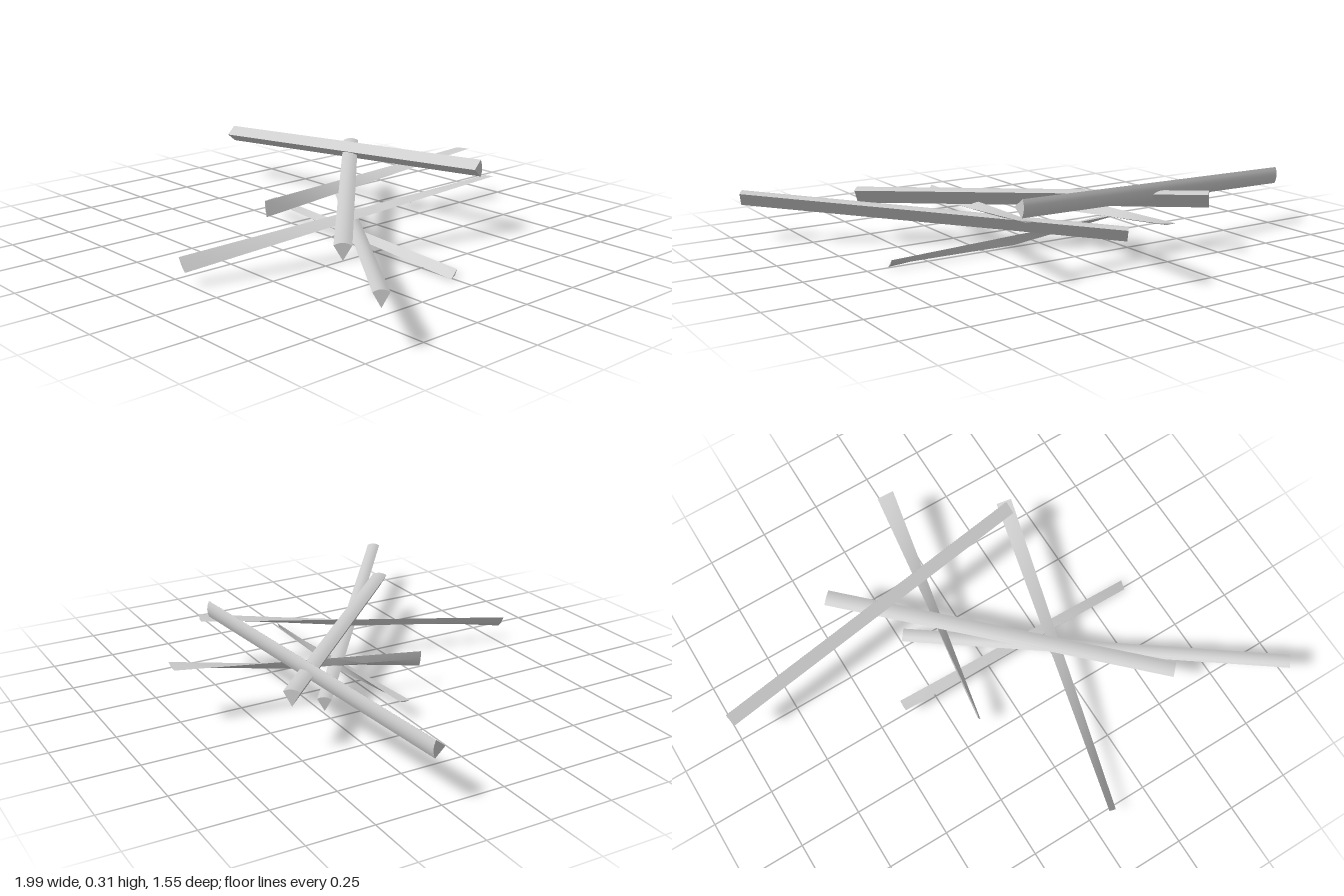
import * as THREE from 'three';
import { toCreasedNormals } from 'three/addons/utils/BufferGeometryUtils.js';

const V = (x, y, z) => new THREE.Vector3(x, y, z);

// Closed skin over sections; points run clockwise seen along the length
function loft(sections) {
  const n = sections[0].length, last = (sections.length - 1) * n, index = [];
  for (let s = 0; s < last; s += n) {
    for (let i = 0; i < n; i++) {
      const j = (i + 1) % n;
      index.push(s + i, s + j, s + n + j, s + i, s + n + j, s + n + i);
    }
  }
  for (let i = 1; i < n - 1; i++) index.push(0, i + 1, i, last, last + i, last + i + 1);
  const g = new THREE.BufferGeometry();
  g.setAttribute('position', new THREE.Float32BufferAttribute(
    sections.flat().flatMap(p => p.toArray()), 3));
  g.setIndex(index);
  return toCreasedNormals(g, 0.6);
}

// Straight split stick: gently rounded outer face with a V behind it
function wedgeStick(start, end, up, width, depth) {
  const dir = end.clone().sub(start).normalize();
  const right = dir.clone().cross(up).normalize();
  const out = right.clone().cross(dir).normalize();
  const section = c => {
    const pts = [];
    for (let i = 0; i <= 6; i++) {
      const t = i / 3 - 1;
      pts.push(c.clone().addScaledVector(right, t * width / 2)
        .addScaledVector(out, 0.009 * (1 - t * t)));
    }
    pts.push(c.clone().addScaledVector(out, -depth));
    return pts;
  };
  return loft([section(start), section(end)]);
}

// Twisted splinter: flat face between two edges, keel deepest at the middle
function splinter(a0, b0, a1, b1, keel) {
  const sections = [], steps = 8;
  for (let i = 0; i <= steps; i++) {
    const t = i / steps;
    const a = a0.clone().lerp(a1, t), b = b0.clone().lerp(b1, t);
    const mid = a.clone().add(b).multiplyScalar(0.5);
    const dir = a1.clone().sub(a0);
    const normal = b.clone().sub(a).cross(dir).normalize();
    const depth = 0.006 + keel * (1 - Math.abs(2 * t - 1));
    sections.push([a, b, mid.addScaledVector(normal, -depth)]);
  }
  return loft(sections);
}

export function createModel() {
  const group = new THREE.Group();
  const wood = new THREE.MeshStandardMaterial({ color: 0xcccccc });
  wood.name = 'paleGrey';
  const add = (name, geometry) => {
    const mesh = new THREE.Mesh(geometry, wood);
    mesh.name = name;
    group.add(mesh);
  };

  // Split sticks
  add('topStick', wedgeStick(V(-1, 0.215, -0.28), V(0.37, 0.28, -0.46), V(0, 0, -1), 0.068, 0.042));
  add('middleStick', wedgeStick(V(-0.44, 0.245, -0.505), V(0.572, 0.208, 0.455), V(0, 1, 0), 0.064, 0.055));
  add('longStick', wedgeStick(V(-0.24, 0.083, -0.27), V(0.975, 0.204, 0.662), V(0, 1, 0), 0.055, 0.05));

  // Twisted splinters
  add('frontSplinter', splinter(V(0.41, 0.25, -0.49), V(0.35, 0.24, -0.505),
    V(0.1, 0.06, 0.775), V(0.065, 0.11, 0.775), 0.018));
  add('backSplinter', splinter(V(0.02, 0.245, -0.775), V(-0.05, 0.238, -0.78),
    V(-0.16, 0.09, 0.2), V(-0.17, 0.155, 0.2), 0.018));
  add('bottomSplinter', splinter(V(-0.39, 0.08, -0.035), V(-0.39, 0.076, 0.01),
    V(0.66, 0.037, -0.02), V(0.66, 0.004, 0.01), 0.028));
  return group;
}
